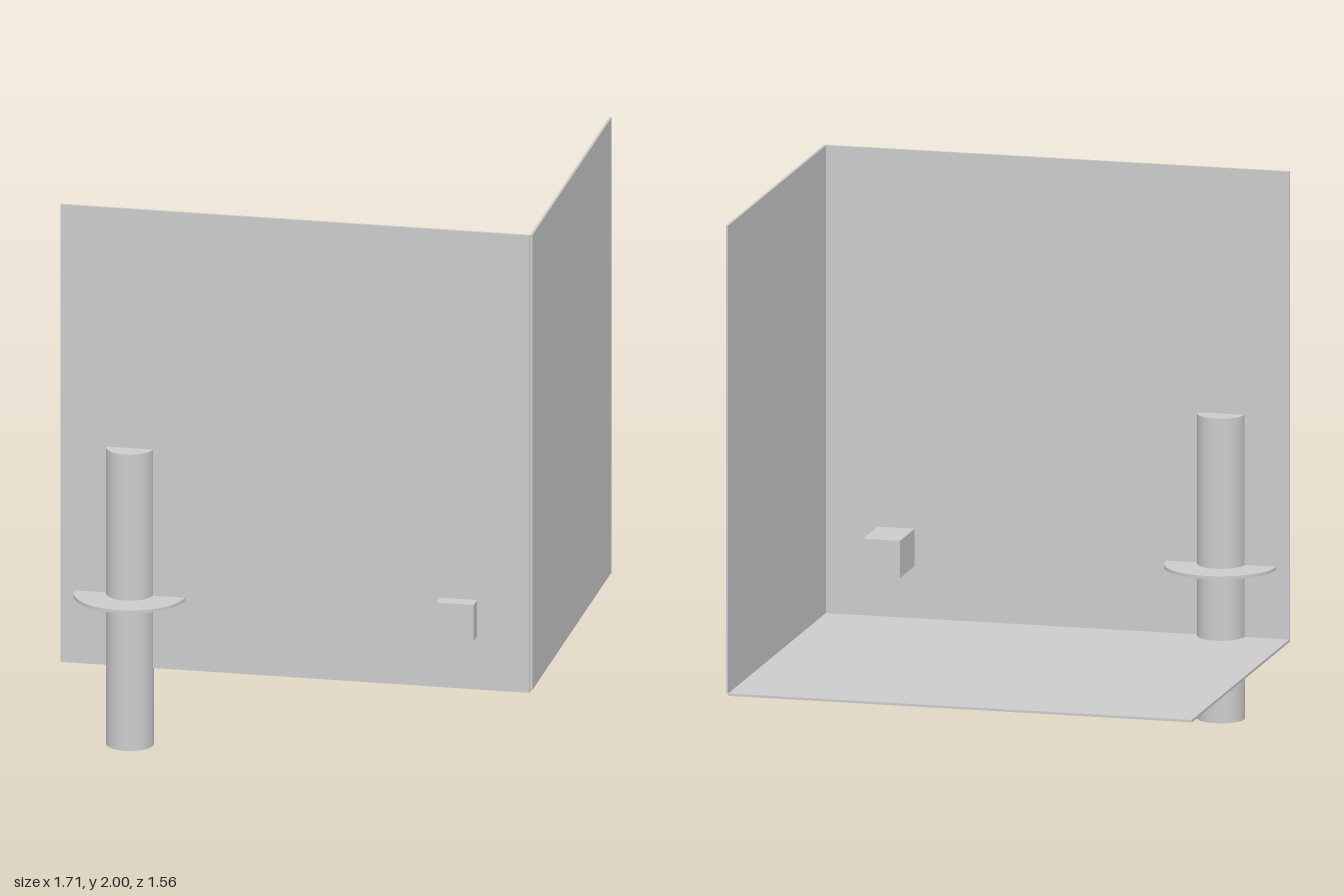
import * as THREE from 'three';

export function createModel() {
  const model = new THREE.Group();
  const grey = new THREE.MeshStandardMaterial({ color: 0xcccccc });
  grey.name = 'light grey';

  const add = (name, geometry, x, y, z) => {
    const mesh = new THREE.Mesh(geometry, grey);
    mesh.name = name;
    mesh.position.set(x, y, z);
    model.add(mesh);
  };
  // box given by its low and high corners
  const box = (name, [x0, y0, z0], [x1, y1, z1]) =>
    add(name, new THREE.BoxGeometry(x1 - x0, y1 - y0, z1 - z0),
      (x0 + x1) / 2, (y0 + y1) / 2, (z0 + z1) / 2);

  // three thin panels meeting at one corner
  box('frontPanel', [-0.855, 0.3, 0.581], [0.846, 2, 0.591]);
  box('sidePanel', [0.846, 0.3, -0.778], [0.855, 2, 0.583]);
  box('floorPanel', [-0.855, 0.291, -0.778], [0.846, 0.3, 0.591]);

  // block passing through the front panel
  box('block', [0.52, 0.49, 0.377], [0.656, 0.625, 0.648]);

  // post through the panel edge, with a thin collar
  add('post', new THREE.CylinderGeometry(0.085, 0.085, 1.107, 64), -0.604, 0.5535, 0.582);
  add('collar', new THREE.CylinderGeometry(0.202, 0.202, 0.011, 64), -0.604, 0.556, 0.576);

  return model;
}
